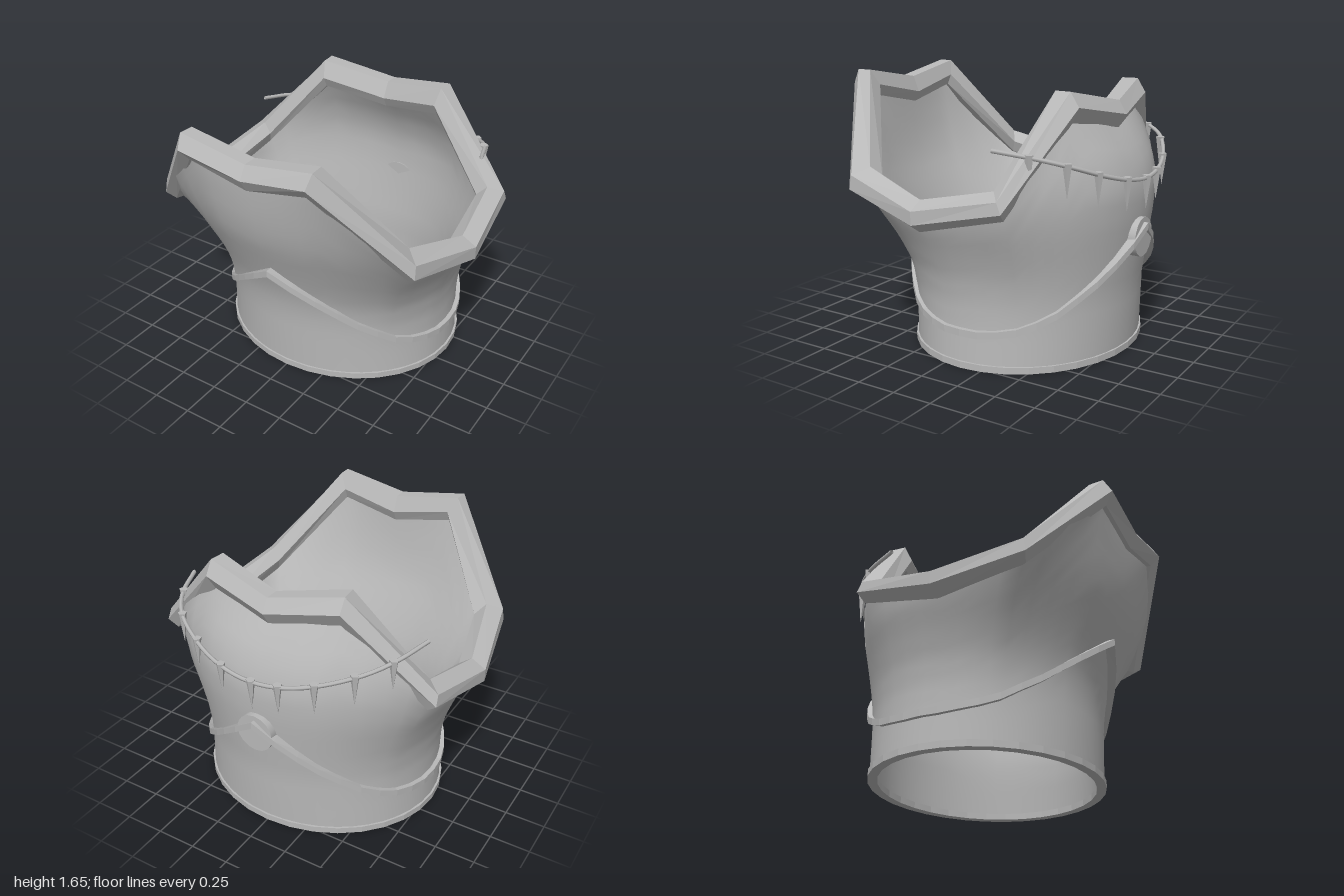
import * as THREE from 'three';

const Z0 = -0.12; // depth of the body axis

// Body profile: height, half width, front depth, back depth
const PROFILE = [
  [0, 0.78, 0.565, -0.81], [0.25, 0.765, 0.575, -0.82], [0.4, 0.765, 0.58, -0.825],
  [0.55, 0.785, 0.6, -0.845], [0.7, 0.83, 0.65, -0.865], [0.85, 0.885, 0.71, -0.885],
  [1.03, 0.92, 0.785, -0.895], [1.2, 0.93, 0.825, -0.855], [1.4, 0.93, 0.85, -0.75], [1.6, 0.9, 0.86, -0.65],
];

// Collar cross-sections from front centre to back centre on the left side:
// lower edge, outer low, outer high, top, inner edge
const COLLAR = [
  [[0, 1.42, 0.88], [0, 1.5, 0.93], [0, 1.58, 0.88], [0, 1.58, 0.79], [0, 1.48, 0.75]],
  [[0.39, 1.5, 0.88], [0.42, 1.57, 0.935], [0.435, 1.655, 0.885], [0.43, 1.655, 0.795], [0.38, 1.56, 0.76]],
  [[0.83, 0.96, 0.56], [0.89, 1.0, 0.59], [0.885, 1.085, 0.575], [0.8, 1.13, 0.5], [0.74, 1.06, 0.46]],
  [[0.92, 0.825, 0.05], [1, 0.88, 0.05], [1, 0.96, 0.05], [0.91, 1.01, 0.05], [0.83, 0.95, 0.05]],
  [[0.88, 0.95, -0.48], [0.94, 1.0, -0.5], [0.935, 1.065, -0.47], [0.85, 1.1, -0.4], [0.79, 1.04, -0.38]],
  [[0.42, 1.43, -0.64], [0.44, 1.52, -0.69], [0.44, 1.605, -0.635], [0.43, 1.605, -0.535], [0.41, 1.5, -0.49]],
  [[0, 1.36, -0.72], [0, 1.44, -0.77], [0, 1.52, -0.72], [0, 1.52, -0.63], [0, 1.42, -0.58]],
];

// How far the body swells out between neighbouring collar corners
const SWELL = [0, 0.06, 0.02, 0.02, 0.08, 0.02];

// Piecewise linear lookup of one column in a table keyed by its first column
function lookup(table, t, col) {
  let i = 0;
  while (i < table.length - 2 && t > table[i + 1][0]) i++;
  const a = table[i], b = table[i + 1];
  const k = THREE.MathUtils.clamp((t - a[0]) / (b[0] - a[0]), 0, 1);
  return a[col] + (b[col] - a[col]) * k;
}

// Point on the body at an angle from the front, pushed out by off
function bodyPoint(phi, y, off = 0) {
  const c = Math.cos(phi);
  const depth = c > 0 ? lookup(PROFILE, y, 2) - Z0 : Z0 - lookup(PROFILE, y, 3);
  return new THREE.Vector3((lookup(PROFILE, y, 1) + off) * Math.sin(phi), y, Z0 + (depth + off) * c);
}

// Surface through rows of points, closed around the body
function loft(rows, closeSection, flat) {
  const n = rows.length, m = rows[0].length, index = [];
  for (let i = 0; i < n; i++) {
    for (let j = 0; j < (closeSection ? m : m - 1); j++) {
      const i2 = (i + 1) % n, j2 = (j + 1) % m;
      const a = i * m + j, b = i2 * m + j, c = i2 * m + j2, d = i * m + j2;
      index.push(a, b, c, a, c, d);
    }
  }
  let g = new THREE.BufferGeometry().setFromPoints(rows.flat());
  g.setIndex(index);
  if (flat) g = g.toNonIndexed();
  g.computeVertexNormals();
  return g;
}

// Ribbon hugging the body, with centre height and outer offset given by rules
function ribbon(steps, heightAt, half, inner, outerAt) {
  const rows = [];
  for (let i = 0; i < steps; i++) {
    const phi = (i / steps) * Math.PI * 2, y = heightAt(phi), outer = outerAt(phi);
    rows.push([[-half, outer], [half, outer], [half, inner], [-half, inner]].map(([dy, off]) => {
      const p = bodyPoint(phi, y, off);
      p.y += dy;
      return p;
    }));
  }
  return loft(rows, true, true);
}

export function createModel() {
  const group = new THREE.Group();
  const grey = new THREE.MeshStandardMaterial({ color: 0xb8b8b8, side: THREE.DoubleSide });
  grey.name = 'plain grey';
  const add = (name, geometry, parent = group) => {
    const mesh = new THREE.Mesh(geometry, grey);
    mesh.name = name;
    parent.add(mesh);
    return mesh;
  };

  // Thick angular collar with an inner lip, mirrored to a full ring
  const left = COLLAR.map(s => {
    const section = s.map(p => new THREE.Vector3(...p));
    const lip = section[4].clone().lerp(section[0], 0.25);
    lip.y -= 0.05;
    return [...section, lip];
  });
  const right = left.slice(1, -1).reverse().map(s => s.map(p => new THREE.Vector3(-p.x, p.y, p.z)));
  const ring = [...left, ...right];
  add('collar', loft(ring, true, true));

  // Where the body meets the collar, and at what angle
  const seats = ring.map(s => {
    const p = s[0].clone().lerp(s[5], 0.25);
    p.y += 0.03;
    return p;
  });
  const angles = seats.map((p, i) => {
    const a = Math.atan2(p.x / 0.9, (p.z - Z0) / (p.z > Z0 ? 0.95 : 0.7));
    return i > 6 ? a + Math.PI * 2 : Math.abs(a);
  });
  angles.push(Math.PI * 2);

  // Shell rising from the hem to the collar
  const SUB = 4, LEVELS = 18;
  const shell = off => {
    const columns = [];
    for (let i = 0; i < ring.length; i++) {
      for (let s = 0; s < SUB; s++) {
        const k = s / SUB;
        const phi = THREE.MathUtils.lerp(angles[i], angles[i + 1], k);
        const top = seats[i].clone().lerp(seats[(i + 1) % ring.length], k);
        const swell = SWELL[Math.min(i, 11 - i)] * Math.sin(k * Math.PI);
        top.x += swell * Math.sin(phi);
        top.z += swell * Math.cos(phi);
        const shift = top.clone().sub(bodyPoint(phi, top.y));
        const column = [];
        for (let j = 0; j <= LEVELS; j++) {
          const t = j / LEVELS;
          column.push(bodyPoint(phi, top.y * t, off).addScaledVector(shift, t ** 3));
        }
        columns.push(column);
      }
    }
    return loft(columns, false, false);
  };
  add('body', shell(0));
  add('lining', shell(-0.04));

  // Hem at the bottom edge
  add('hem', ribbon(32, () => 0.02, 0.02, -0.045, () => 0.013));

  // Belt dipping at the sides, its points at front and back standing proud
  const BELT = [[0, 0.795], [24, 0.545], [36, 0.43], [57, 0.27], [78, 0.22], [102, 0.22],
    [118, 0.255], [133, 0.33], [152, 0.5], [180, 0.79]];
  const beltHeight = phi => {
    const deg = THREE.MathUtils.radToDeg(phi);
    return lookup(BELT, deg > 180 ? 360 - deg : deg, 1);
  };
  add('belt', ribbon(40, beltHeight, 0.021, -0.01, phi => 0.028 + 0.025 * Math.cos(phi) ** 8));

  // Round medallion at the back
  const disc = add('medallion', new THREE.CylinderGeometry(0.12, 0.12, 0.08, 16).rotateX(Math.PI / 2));
  disc.position.set(0, 0.72, -0.862);

  // Cord across the back with free ends over the shoulders
  const CORD = [[0, 1.08, -0.91], [0.2, 1.1, -0.895], [0.4, 1.15, -0.84], [0.62, 1.23, -0.72],
    [0.73, 1.275, -0.58], [0.81, 1.31, -0.36]];
  const points = [...CORD.slice(1).reverse().map(([x, y, z]) => [-x, y, z]), ...CORD];
  const curve = new THREE.CatmullRomCurve3(points.map(p => new THREE.Vector3(...p)));
  const necklace = new THREE.Group();
  necklace.name = 'necklace';
  group.add(necklace);
  add('cord', new THREE.TubeGeometry(curve, 40, 0.013, 6), necklace);

  // Pointed teeth hanging from the cord
  const tooth = new THREE.ConeGeometry(0.028, 0.2, 5).rotateX(Math.PI).translate(0, -0.085, 0).toNonIndexed();
  tooth.computeVertexNormals();
  for (const x of [-0.72, -0.57, -0.375, -0.17, 0, 0.22, 0.44, 0.62, 0.74]) {
    const mesh = add('tooth', tooth, necklace);
    mesh.position.set(x, lookup(CORD, Math.abs(x), 1), lookup(CORD, Math.abs(x), 2));
  }
  return group;
}
